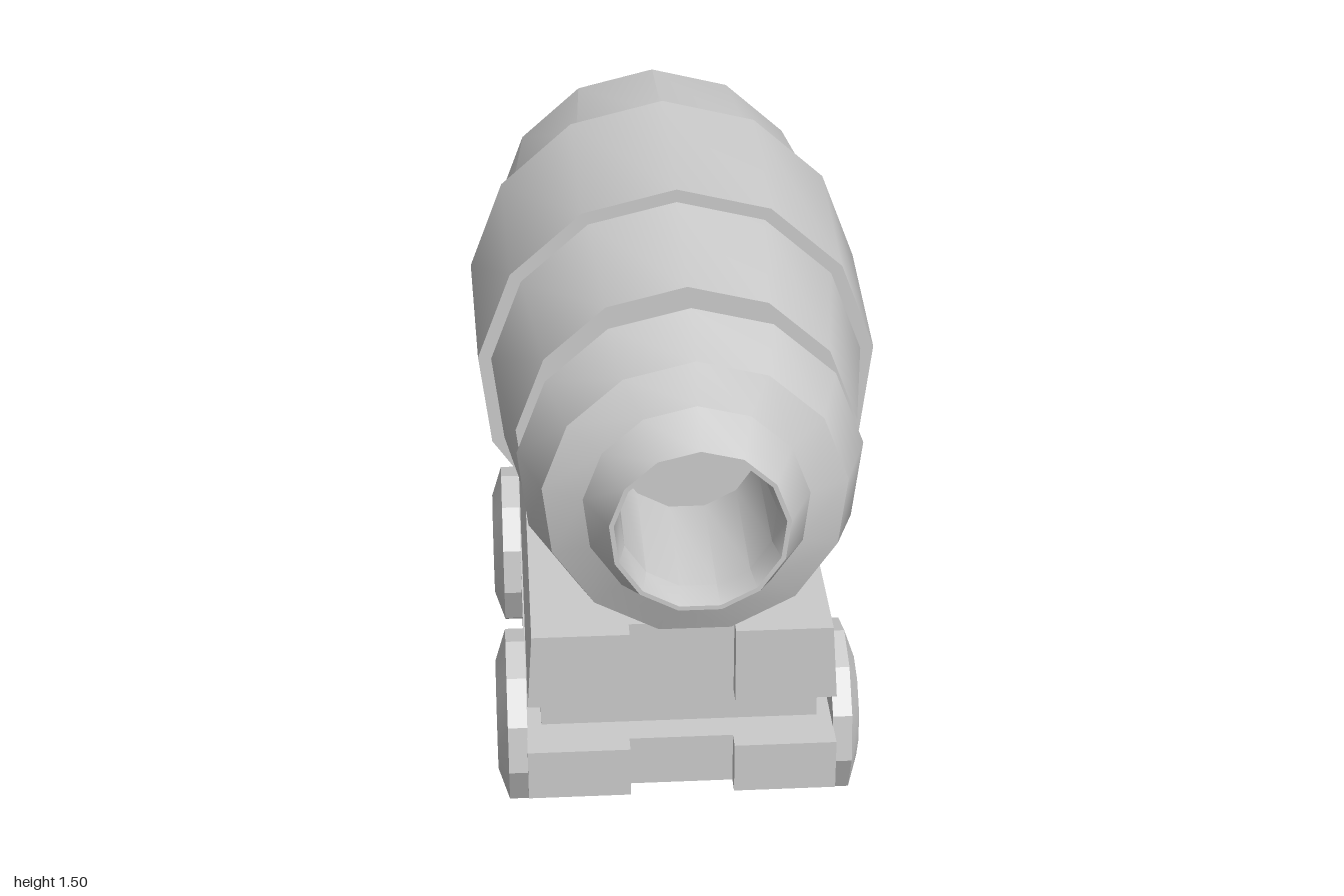
import * as THREE from 'three';
import { toCreasedNormals } from 'three/addons/utils/BufferGeometryUtils.js';

const material = new THREE.MeshStandardMaterial({ color: 0xcccccc });

function part(name, geometry, x = 0, y = 0, z = 0) {
  const mesh = new THREE.Mesh(geometry, material);
  mesh.name = name;
  mesh.position.set(x, y, z);
  return mesh;
}

// Turned shape from [radius, height] pairs, with hard edges kept sharp
function turned(profile, sides, phiStart) {
  const points = profile.map(([r, h]) => new THREE.Vector2(r, h));
  return toCreasedNormals(new THREE.LatheGeometry(points, sides, phiStart), 0.53);
}

// Open rectangular layer: two side beams joined by recessed cross pieces
function frameLayer(name, { outer, inner, bottom, top, halfLength, recess, taper = 0 }) {
  const layer = new THREE.Group();
  layer.name = name;
  const height = top - bottom, y = (top + bottom) / 2;
  const width = outer - inner, crossDepth = 0.18;
  for (const side of [1, -1]) {
    const beam = new THREE.BoxGeometry(width, height, halfLength * 2);
    const p = beam.attributes.position;
    for (let i = 0; i < p.count; i++) {
      // lean the outer face slightly inward at the top
      if (p.getX(i) * side > 0 && p.getY(i) > 0) p.setX(i, p.getX(i) - side * taper);
    }
    beam.computeVertexNormals();
    layer.add(part('sideBeam', beam, side * (outer + inner) / 2, y, 0));
    layer.add(part('crossPiece', new THREE.BoxGeometry(inner * 2, height, crossDepth),
      0, y, side * (halfLength - recess - crossDepth / 2)));
  }
  return layer;
}

export function createModel() {
  const model = new THREE.Group();
  model.name = 'cannon';

  // Barrel, from the closed rear to the muzzle and back into the bore
  const barrel = turned([
    [0, -1], [0.125, -1], [0.16, -0.96], [0.315, -0.86], [0.40, -0.64], [0.44, -0.24],
    [0.47, -0.24], [0.455, 0.265], [0.425, 0.265], [0.375, 0.605],
    [0.315, 0.605], [0.315, 0.71], [0.375, 0.71], [0.325, 0.86], [0.24, 0.895],
    [0.19, 1], [0.18, 1], [0.165, 0.94], [0.165, 0.6], [0, 0.6],
  ], 13, Math.PI);
  barrel.rotateX(Math.PI / 2);
  model.add(part('barrel', barrel, 0, 1.03, 0));

  // Carriage of three stacked frames
  const carriage = new THREE.Group();
  carriage.name = 'carriage';
  carriage.position.set(-0.01, 0, -0.017);
  carriage.add(
    frameLayer('upperFrame', { outer: 0.353, inner: 0.12, bottom: 0.38, top: 0.565, halfLength: 0.657, recess: 0.045, taper: 0.012 }),
    frameLayer('middleFrame', { outer: 0.322, inner: 0.16, bottom: 0.255, top: 0.38, halfLength: 0.54, recess: 0 }),
    frameLayer('lowerFrame', { outer: 0.356, inner: 0.12, bottom: 0.13, top: 0.255, halfLength: 0.657, recess: 0.045 }),
  );

  // Wheels with a bevelled rim and a shallow dished hub
  const wheelGeometry = turned([
    [0, 0.355], [0.204, 0.355], [0.204, 0.4], [0.13, 0.425], [0.105, 0.405], [0, 0.405],
  ], 11, -Math.PI / 2);
  wheelGeometry.rotateZ(-Math.PI / 2);
  for (const z of [0.405, -0.405]) {
    for (const turn of [0, Math.PI]) {
      const wheel = part(z > 0 ? 'frontWheel' : 'rearWheel', wheelGeometry, 0, 0.196, z);
      wheel.rotation.y = turn;
      carriage.add(wheel);
    }
  }
  model.add(carriage);
  return model;
}
